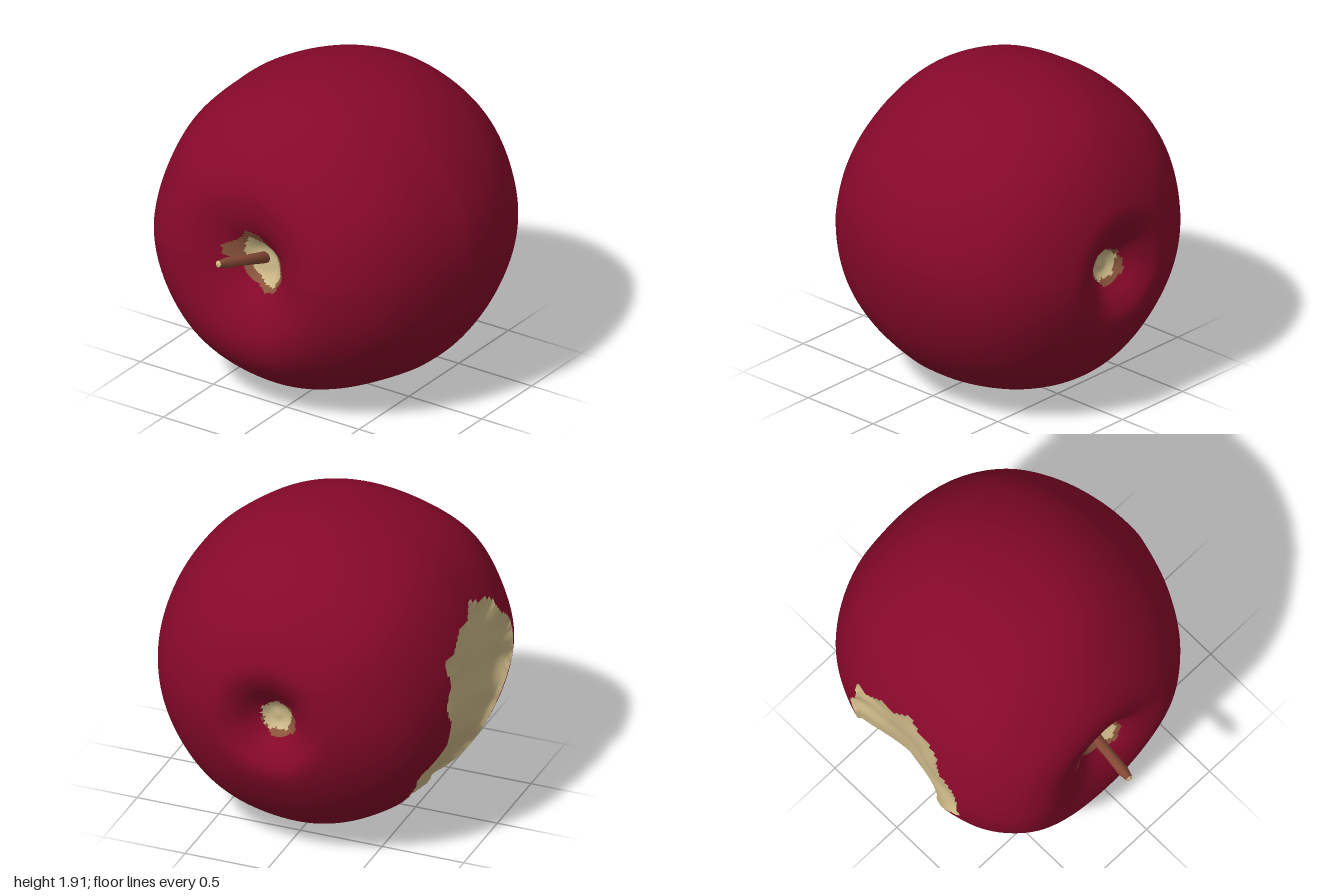
import * as THREE from 'three';

const paint = (name, color) => {
  const m = new THREE.MeshStandardMaterial({ color });
  m.name = name;
  return m;
};

// Profile from the stem hollow (front) to the blossom hollow (back): radius, z
const PROFILE = [
  [0.001, 0.62], [0.08, 0.63], [0.15, 0.68], [0.22, 0.73], [0.32, 0.77], [0.46, 0.785],
  [0.59, 0.74], [0.72, 0.63], [0.815, 0.5], [0.885, 0.33], [0.925, 0.15], [0.945, -0.05],
  [0.935, -0.25], [0.875, -0.5], [0.76, -0.72], [0.62, -0.86], [0.45, -0.96],
  [0.32, -0.995], [0.22, -0.96], [0.12, -0.88], [0.05, -0.83], [0.001, -0.83],
];

// Outline of the bite on the -x side: y, z
const BITE = [
  [1.38, 0.06], [1.41, -0.06], [1.34, -0.25], [1.22, -0.43], [0.95, -0.47], [0.72, -0.42],
  [0.56, -0.55], [0.38, -0.5], [0.17, -0.34], [0.22, 0.08], [0.46, 0.16], [0.68, 0.24],
  [0.86, 0.4], [1.02, 0.41], [1.16, 0.32], [1.3, 0.2],
];

// Outlines in the stem hollow: x, y
const HOLLOW_FLESH = [
  [-0.14, 1.13], [-0.17, 1.06], [-0.19, 0.99], [-0.12, 0.89], [-0.03, 0.83], [0.05, 0.84],
  [0.085, 0.92], [0.03, 1.03], [-0.06, 1.09],
];
const HOLLOW_BROWN = [
  [-0.15, 1.18], [-0.2, 1.1], [-0.29, 1.04], [-0.3, 0.98], [-0.2, 0.95], [-0.13, 0.85],
  [-0.02, 0.79], [0.07, 0.83], [0.11, 0.91], [0.06, 1.04], [-0.02, 1.07], [-0.07, 1.15],
];

// Distance inside an outline with a wavering edge, or 0 when outside
function insetDistance(outline, u0, v0, waver) {
  const u = u0 + waver * Math.sin(31 * v0), v = v0 + waver * Math.sin(27 * u0);
  let inside = false, nearest = Infinity;
  outline.forEach(([u1, v1], i) => {
    const [u2, v2] = outline[(i + 1) % outline.length];
    const du = u2 - u1, dv = v2 - v1;
    if ((v1 > v) !== (v2 > v) && u < u1 + ((v - v1) / dv) * du) inside = !inside;
    const t = THREE.MathUtils.clamp(((u - u1) * du + (v - v1) * dv) / (du * du + dv * dv), 0, 1);
    nearest = Math.min(nearest, Math.hypot(u - u1 - t * du, v - v1 - t * dv));
  });
  return inside ? nearest : 0;
}

// Colour zone inside the hollows: 2 flesh, 1 browned, 0 skin
function hollowZone(x, y, r, a, front) {
  if (r > 0.4) return 0;
  if (front) {
    if (insetDistance(HOLLOW_FLESH, x, y, 0.006) > 0) return 2;
    return insetDistance(HOLLOW_BROWN, x, y, 0.006) > 0 ? 1 : 0;
  }
  const rag = 0.006 * Math.sin(5 * a) + 0.004 * Math.sin(11 * a + 2);
  if (r < 0.097 + rag) return 2;
  return r < 0.108 - rag + 0.03 * Math.cos(a - 3.9) ? 1 : 0;
}

export function createModel() {
  const group = new THREE.Group();
  group.name = 'bittenApple';
  const red = paint('red skin', 0x860829);
  const cream = paint('cream flesh', 0xcdb988);
  const brown = paint('browned edge', 0x8a553c);
  const bark = paint('stem brown', 0x874a36);

  // Body points: rings about the z axis, slightly lopsided, pushed in at the bite
  const rings = 200, sides = 240;
  const curve = new THREE.CatmullRomCurve3(PROFILE.map(([r, z]) => new THREE.Vector3(r, z, 0)));
  const positions = [], bitten = [], zone = [];
  for (let i = 0; i <= rings; i++) {
    const p = curve.getPointAt(i / rings);
    const r0 = Math.max(p.x, 0.001), z0 = p.y;
    for (let j = 0; j < sides; j++) {
      const a = (j / sides) * Math.PI * 2;
      const shoulder = 0.03 * Math.exp(-(((a - 2.35) / 0.3) ** 2));
      const r = r0 * (1.005 + 0.02 * Math.cos(a - 2.2) + 0.004 * Math.sin(7 * a - 3 * z0) + shoulder);
      let x = r * Math.cos(a) - Math.max(0, z0) * (0.07 + 0.06 * Math.min(1, r0 / 0.6));
      let y = 0.944 + 0.025 * Math.max(0, 1 - r0 * 2) * Math.sign(z0) + r * Math.sin(a) * 1.003;
      // the upper front and the lower back lean inwards
      const z = z0
        - 0.1 * Math.max(0, y - 0.957) * THREE.MathUtils.smoothstep(z0, 0.2, 0.7)
        + 0.05 * Math.max(0, 0.957 - y) * THREE.MathUtils.smoothstep(-z0, 0.6, 0.95);
      zone.push(hollowZone(x, y, r0, a, z0 > 0));
      const inset = x < -0.2 ? insetDistance(BITE, y, z, 0.012) : 0;
      if (inset > 0) {
        const lumps = 0.012 * Math.sin(9 * y + 5 * z) + 0.01 * Math.sin(14 * z - 4 * y);
        const depth = 0.012 + (0.115 + lumps) * (1 - Math.exp(-inset / 0.14));
        x += depth * Math.abs(Math.cos(a));
        y -= depth * Math.sin(a);
      }
      positions.push(x, Math.max(0, y), z);
      bitten.push(inset > 0);
    }
  }

  // Sort the triangles into parts
  const parts = { skin: [], brownedRim: [], hollowFlesh: [], biteFlesh: [] };
  const addFace = (...f) => {
    const z = Math.min(...f.map((v) => zone[v]));
    const key = f.some((v) => bitten[v]) ? 'biteFlesh' : ['skin', 'brownedRim', 'hollowFlesh'][z];
    parts[key].push(...f);
  };
  for (let i = 0; i < rings; i++) {
    for (let j = 0; j < sides; j++) {
      const k = (j + 1) % sides;
      const a = i * sides + j, b = a + sides, c = (i + 1) * sides + k, d = i * sides + k;
      addFace(a, b, c);
      addFace(a, c, d);
    }
  }
  const materials = { skin: red, brownedRim: brown, hollowFlesh: cream, biteFlesh: cream };
  for (const [name, index] of Object.entries(parts)) {
    const g = new THREE.BufferGeometry();
    g.setAttribute('position', new THREE.Float32BufferAttribute(positions, 3));
    g.setIndex(index);
    g.computeVertexNormals();
    const mesh = new THREE.Mesh(g, materials[name]);
    mesh.name = name;
    group.add(mesh);
  }

  // Stem: a leaning twig with a pale cut tip
  const stem = new THREE.Group();
  stem.name = 'stem';
  const turned = (name, outline, material) => {
    const points = outline.map(([x, y]) => new THREE.Vector2(x, y));
    const mesh = new THREE.Mesh(new THREE.LatheGeometry(points, 8), material);
    mesh.name = name;
    stem.add(mesh);
  };
  turned('twig', [[0, 0], [0.036, 0], [0.03, 0.2], [0.033, 0.34], [0.02, 0.41]], bark);
  turned('cutTip', [[0.02, 0.41], [0, 0.42]], cream);
  stem.position.set(-0.06, 0.98, 0.6);
  const lean = new THREE.Vector3(-0.07, 0.1, 0.4).normalize();
  stem.quaternion.setFromUnitVectors(new THREE.Vector3(0, 1, 0), lean);
  group.add(stem);

  return group;
}
